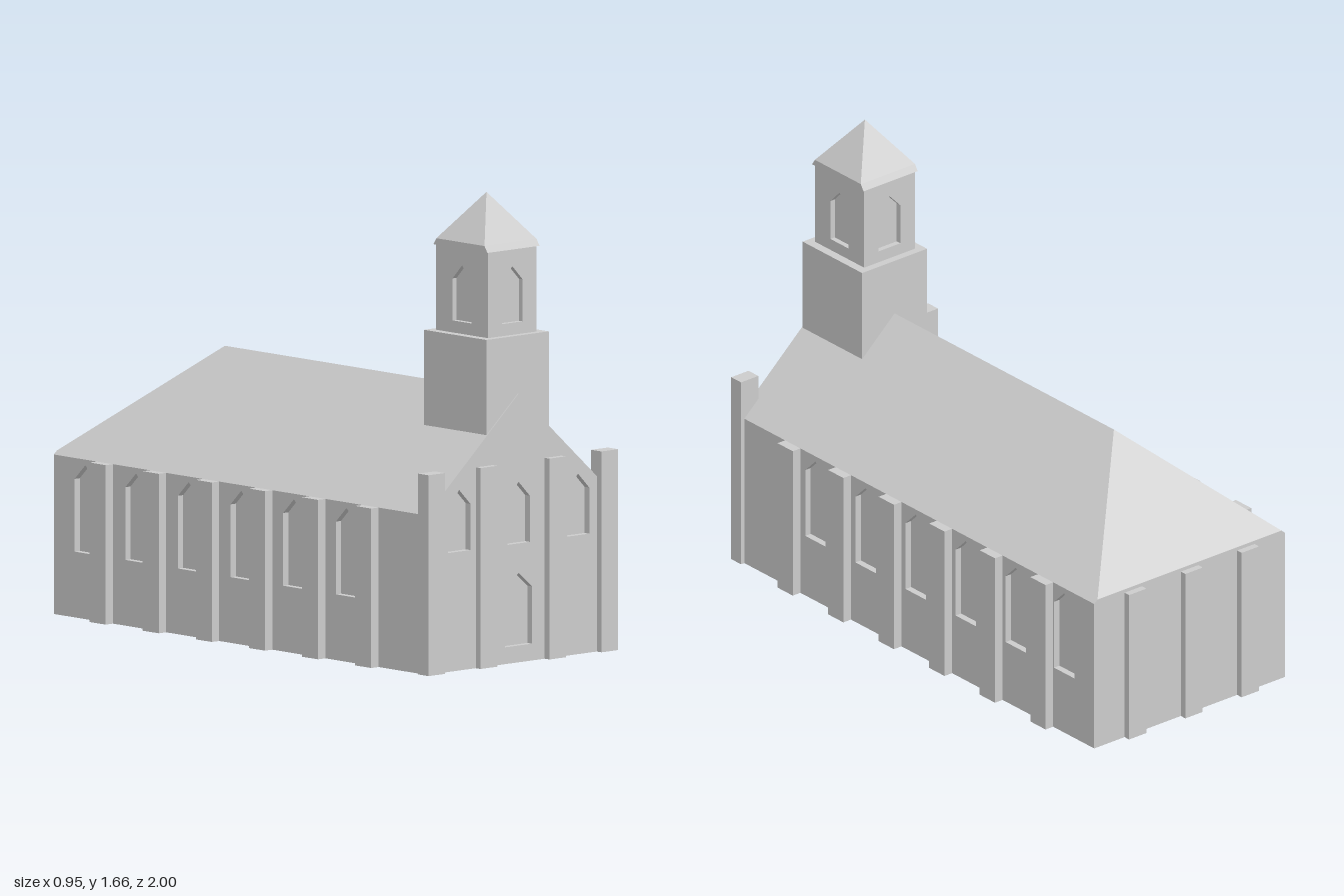
import * as THREE from 'three';

const stone = new THREE.MeshStandardMaterial({ color: 0xcccccc });
stone.name = 'paleStone';

const W = 0.44, L = 0.975, EAVE = 0.57, RIDGE = 0.96, D = 0.025;

function add(parent, geometry, name) {
  const mesh = new THREE.Mesh(geometry, stone);
  mesh.name = name;
  parent.add(mesh);
  return mesh;
}

// Box given by its minimum and maximum along each axis
function block(parent, name, x0, x1, y0, y1, z0, z1) {
  const mesh = add(parent, new THREE.BoxGeometry(x1 - x0, y1 - y0, z1 - z0), name);
  mesh.position.set((x0 + x1) / 2, (y0 + y1) / 2, (z0 + z1) / 2);
  return mesh;
}

// Pointed opening: centre, half width, sill, shoulder and apex heights
function opening(c, h, sill, shoulder, apex) {
  return new THREE.Path([[c - h, sill], [c - h, shoulder], [c, apex], [c + h, shoulder], [c + h, sill]]
    .map(p => new THREE.Vector2(...p)));
}

// Wall slab with openings; its outer face lies at local z = 0
function wall(parent, name, outline, holes, depth) {
  const shape = new THREE.Shape(outline.map(p => new THREE.Vector2(...p)));
  shape.holes.push(...holes);
  const geometry = new THREE.ExtrudeGeometry(shape, { depth, bevelEnabled: false });
  geometry.translate(0, 0, -depth);
  return add(parent, geometry, name);
}

// Flat-faced solid from convex polygons, counter-clockwise seen from outside
function facets(polygons) {
  const points = [];
  for (const p of polygons)
    for (let i = 1; i < p.length - 1; i++) points.push(...p[0], ...p[i], ...p[i + 1]);
  const geometry = new THREE.BufferGeometry();
  geometry.setAttribute('position', new THREE.Float32BufferAttribute(points, 3));
  geometry.computeVertexNormals();
  return geometry;
}

function buildNave() {
  const nave = new THREE.Group();
  nave.name = 'nave';
  block(nave, 'naveCore', -W + D, W - D, 0, EAVE, -L, L - D);

  // Gabled front wall with three windows and a door
  wall(nave, 'frontWall', [[-W, 0], [W, 0], [W, EAVE], [0, RIDGE], [-W, EAVE]], [
    ...[-0.285, 0, 0.285].map(x => opening(x, 0.054, 0.425, 0.59, 0.645)),
    opening(0, 0.065, 0.06, 0.265, 0.32),
  ], D).position.z = L;

  // Long side walls with six windows each
  const windowZ = [0.555, 0.28, 0.005, -0.27, -0.545, -0.81];
  for (const s of [1, -1]) {
    const u0 = Math.min(s * L, -s * (L - D)), u1 = Math.max(s * L, -s * (L - D));
    const side = wall(nave, s > 0 ? 'leftWall' : 'rightWall',
      [[u0, 0], [u1, 0], [u1, EAVE], [u0, EAVE]],
      windowZ.map(z => opening(-s * z, 0.056, 0.235, 0.495, 0.55)), D);
    side.rotation.y = s * Math.PI / 2;
    side.position.x = s * W;
  }

  // Roof: gable at the front, hip at the back
  const zf = L - D, top = [0, RIDGE, zf], hip = [0, RIDGE, -0.56];
  const low = (s, z) => [s * W, EAVE, z];
  const corner = s => [s * 0.425, 0.583, -L];
  add(nave, facets([
    [low(1, zf), low(1, -L), corner(1), hip, top],
    [top, hip, corner(-1), low(-1, -L), low(-1, zf)],
    [corner(1), corner(-1), hip],
    [low(1, -L), low(-1, -L), corner(-1), corner(1)],
    [low(-1, zf), low(1, zf), top],
  ]), 'roof');
  return nave;
}

function buildButtresses() {
  const group = new THREE.Group();
  group.name = 'buttresses';
  for (const s of [1, -1]) {
    for (let i = 0; i < 6; i++) {
      const z = 0.68 - i * 0.2775;
      const a = s * W, b = s * 0.475;
      block(group, 'sideButtress', Math.min(a, b), Math.max(a, b), 0, EAVE, z - 0.042, z + 0.042);
    }
    block(group, 'cornerPier', s * 0.415 - 0.04, s * 0.415 + 0.04, 0, 0.718, 0.946, 1);
    block(group, 'frontButtress', s * 0.165 - 0.04, s * 0.165 + 0.04, 0, 0.718, L, 1);
  }
  for (const x of [-0.26, 0, 0.26])
    block(group, 'backButtress', x - 0.04, x + 0.04, 0, EAVE, -1, -L);
  return group;
}

function buildTower() {
  const tower = new THREE.Group();
  tower.name = 'tower';
  tower.position.z = 0.807;
  block(tower, 'towerBase', -0.15, 0.15, 0.8, 1.167, -0.163, 0.163);

  // Belfry: a core behind four pierced walls
  const hx = 0.117, hz = 0.135, d = 0.02, y0 = 1.167, y1 = 1.474;
  block(tower, 'belfryCore', -hx + d, hx - d, y0, y1, -hz + d, hz - d);
  for (let i = 0; i < 4; i++) {
    const onSide = i % 2 === 1, half = onSide ? hz - d : hx, out = onSide ? hx : hz;
    const a = i * Math.PI / 2;
    const face = wall(tower, 'belfryWall', [[-half, y0], [half, y0], [half, y1], [-half, y1]],
      [opening(0, 0.05, 1.21, 1.36, 1.412)], d);
    face.rotation.y = a;
    face.position.set(Math.sin(a) * out, 0, Math.cos(a) * out);
  }

  // Pyramid cap with a low fascia
  const ring = (x, y, z) => [[-x, y, z], [x, y, z], [x, y, -z], [-x, y, -z]];
  const base = ring(0.125, 1.473, 0.141), eave = ring(0.125, 1.496, 0.126), tip = [0, 1.663, 0];
  const faces = [[...base].reverse()];
  for (let i = 0; i < 4; i++) {
    const j = (i + 1) % 4;
    faces.push([base[i], base[j], eave[j], eave[i]], [eave[i], eave[j], tip]);
  }
  add(tower, facets(faces), 'spire');
  return tower;
}

export function createModel() {
  const model = new THREE.Group();
  model.name = 'church';
  model.add(buildNave(), buildButtresses(), buildTower());
  return model;
}
